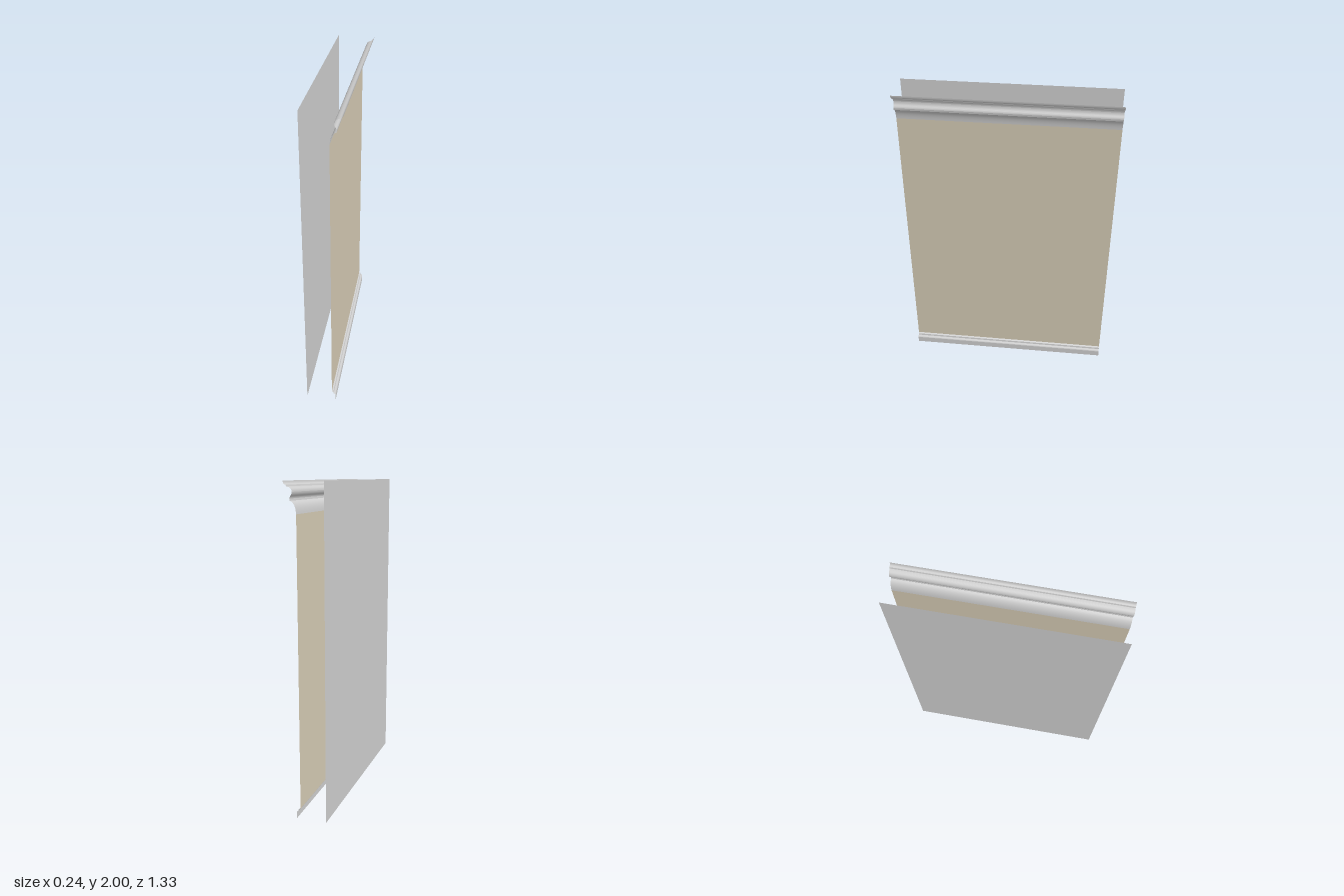
import * as THREE from 'three';
import { mergeGeometries } from 'three/addons/utils/BufferGeometryUtils.js';

const LENGTH = 1.33;
const PANEL_X = 0.043;

const material = (color) => new THREE.MeshStandardMaterial({ color, side: THREE.DoubleSide });

// Sweeps one run of [x, y] points (listed from bottom to top) along z, smooth within the run
function strip(points) {
  const geometry = new THREE.PlaneGeometry(LENGTH, 1, 1, points.length - 1);
  const pos = geometry.attributes.position;
  for (let i = 0; i < pos.count; i++) {
    const [x, y] = points[points.length - 1 - Math.floor(i / 2)];
    pos.setXYZ(i, x, y, -pos.getX(i));
  }
  geometry.computeVertexNormals();
  return geometry;
}

// Samples a cubic curve between two profile points
function curve(a, b, c, d, steps = 10) {
  const v = [a, b, c, d].map(([x, y]) => new THREE.Vector2(x, y));
  return new THREE.CubicBezierCurve(...v).getPoints(steps).map((p) => [p.x, p.y]);
}

// Runs are separate strips, so the edges between them stay sharp
function sheet(name, color, runs) {
  const mesh = new THREE.Mesh(mergeGeometries(runs.map(strip)), material(color));
  mesh.name = name;
  return mesh;
}

export function createModel() {
  const group = new THREE.Group();
  group.name = 'wallSection';

  // Plain rear face of the wall
  group.add(sheet('rearWall', 0xcccccc, [[[-0.12, 0], [-0.12, 2]]]));

  // Coloured wall panel between the mouldings
  group.add(sheet('wallPanel', 0xd1c7b1, [[[PANEL_X, 0.068], [PANEL_X, 1.82]]]));

  // Baseboard: flat face with a small stepped top
  group.add(sheet('baseboard', 0xcccccc, [
    [[0.068, 0], [0.068, 0.04]],
    curve([0.068, 0.04], [0.066, 0.048], [0.06, 0.05], [0.054, 0.051], 6),
    [[0.054, 0.051], [0.052, 0.062]],
    [[0.052, 0.062], [PANEL_X, 0.068]],
  ]));

  // Crown moulding: lower cove, lip, neck, upper cove and top fillet
  group.add(sheet('crownMoulding', 0xcccccc, [
    curve([PANEL_X, 1.82], [0.045, 1.855], [0.055, 1.885], [0.08, 1.892]),
    [[0.08, 1.892], [0.082, 1.904]],
    curve([0.082, 1.904], [0.081, 1.918], [0.068, 1.92], [0.067, 1.94]),
    curve([0.067, 1.94], [0.068, 1.958], [0.08, 1.966], [0.1, 1.969]),
    [[0.1, 1.969], [0.103, 1.978]],
    curve([0.103, 1.978], [0.112, 1.979], [0.119, 1.984], [0.12, 2], 6),
  ]));

  return group;
}
